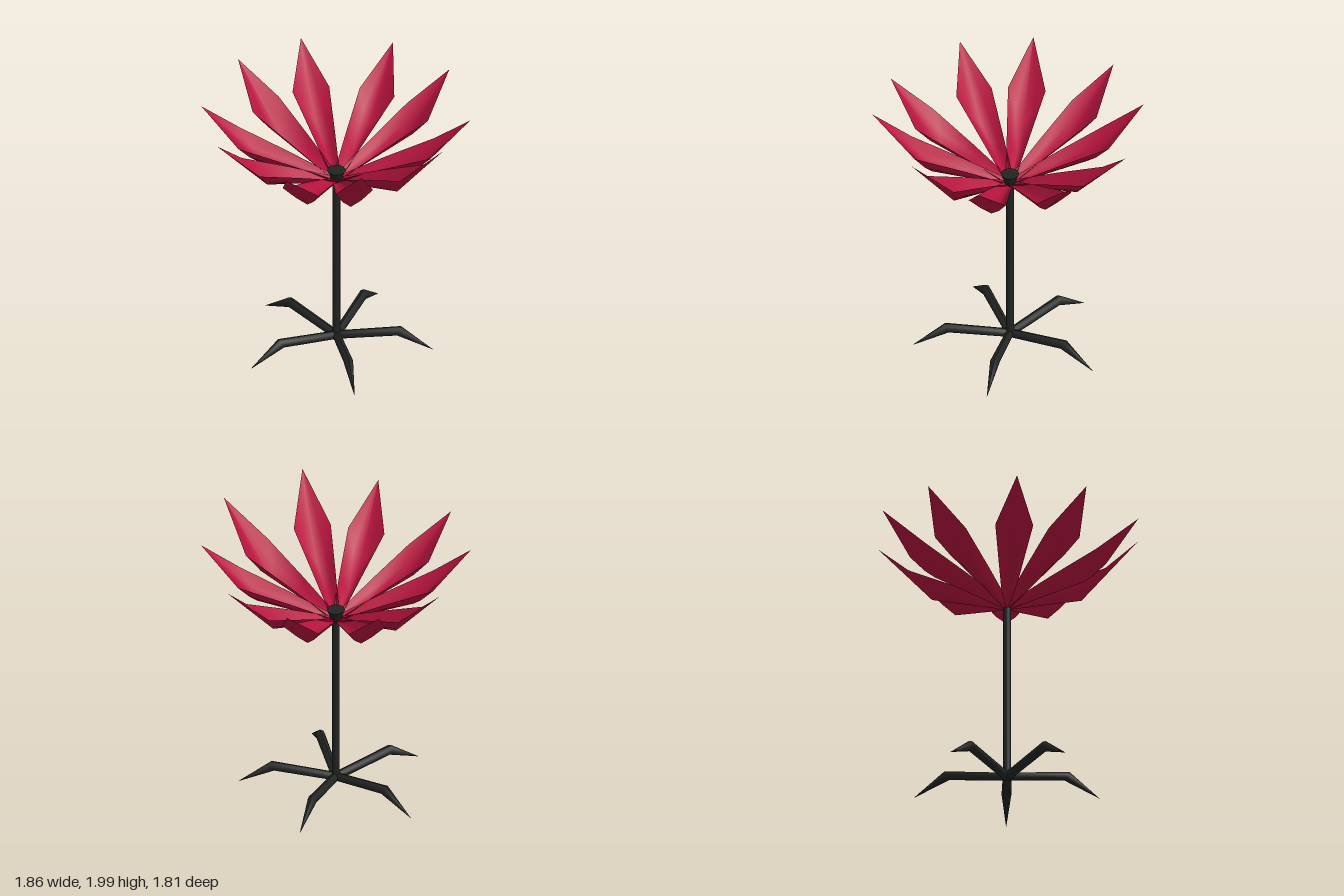
import * as THREE from 'three';

const red = new THREE.MeshStandardMaterial({ color: 0xb8143f, side: THREE.DoubleSide });
const dark = new THREE.MeshStandardMaterial({ color: 0x222424 });

// Smooth surface through rows of points (all rows have the same length)
function loft(rows) {
  const n = rows[0].length;
  const index = [];
  for (let i = 0; i < rows.length - 1; i++) {
    for (let j = 0; j < n - 1; j++) {
      const a = i * n + j, b = a + n;
      index.push(a, a + 1, b, b, a + 1, b + 1);
    }
  }
  const geo = new THREE.BufferGeometry();
  geo.setAttribute('position', new THREE.Float32BufferAttribute(rows.flat(2), 3));
  geo.setIndex(index);
  geo.computeVertexNormals();
  return geo;
}

// Trough-shaped petal along +x: a low keel between two raised edges, ending in a point
function petalGeometry(tipR, tipY, edgeY) {
  const stations = [
    // keel r, keel y, edge r, edge y, half width
    [0, 1.34, 0.01, 1.375, 0.03],
    [0.27, 1.415, 0.33, 1.375 + (edgeY - 1.375) * 0.5, 0.08],
    [0.54, 1.49, 0.67, edgeY, 0.131],
    [tipR, tipY, tipR, tipY, 0],
  ];
  return loft(stations.map(([kr, ky, er, ey, w]) =>
    [-1, -0.5, 0, 0.5, 1].map((s) => {
      const f = Math.abs(s) ** 1.4;
      return [kr + (er - kr) * f, ky + (ey - ky) * f, s * w];
    })));
}

// Bent, tapering root along +x, round in section and ending in a claw point
function rootGeometry() {
  const stations = [
    // centre r, centre y, half height, half width, lean of the section
    [0, 0.074, 0.03, 0.03, 0],
    [0.435, 0.142, 0.034, 0.034, 0.014],
    [0.67, 0.008, 0.001, 0.001, 0],
  ];
  const sides = 8;
  return loft(stations.map(([r, y, h, w, lean]) =>
    Array.from({ length: sides + 1 }, (_, j) => {
      const a = (j / sides) * Math.PI * 2;
      return [r + lean * Math.cos(a), y + h * Math.cos(a), -w * Math.sin(a)];
    })));
}

export function createModel() {
  const model = new THREE.Group();
  const add = (parent, name, geo, mat, degrees = 0, y = 0) => {
    const mesh = new THREE.Mesh(geo, mat);
    mesh.name = name;
    mesh.rotation.y = -THREE.MathUtils.degToRad(degrees);
    mesh.position.y = y;
    parent.add(mesh);
  };

  // Stem and the dark flower centre that flares from it
  add(model, 'stem', new THREE.CylinderGeometry(0.027, 0.027, 1.3, 16), dark, 0, 0.71);
  add(model, 'flowerCentre', new THREE.CylinderGeometry(0.063, 0.027, 0.09, 24), dark, 0, 1.395);

  // Ten petals; the two at the front stand a little taller
  const petals = new THREE.Group();
  petals.name = 'petals';
  const low = petalGeometry(0.932, 1.93, 1.675);
  const tall = petalGeometry(0.95, 2.0, 1.7);
  for (const a of [-4.6, -36.5, -76.4, -107.8, -147.7, -179.4, 140.5, 35.8]) add(petals, 'petal', low, red, a);
  for (const a of [108.2, 67.9]) add(petals, 'frontPetal', tall, red, a);
  model.add(petals);

  // Five evenly spaced roots as feet
  const roots = new THREE.Group();
  roots.name = 'roots';
  const rootMat = dark.clone();
  rootMat.side = THREE.DoubleSide;
  const root = rootGeometry();
  for (let i = 0; i < 5; i++) add(roots, 'root', root, rootMat, 180 + i * 72);
  model.add(roots);

  return model;
}
